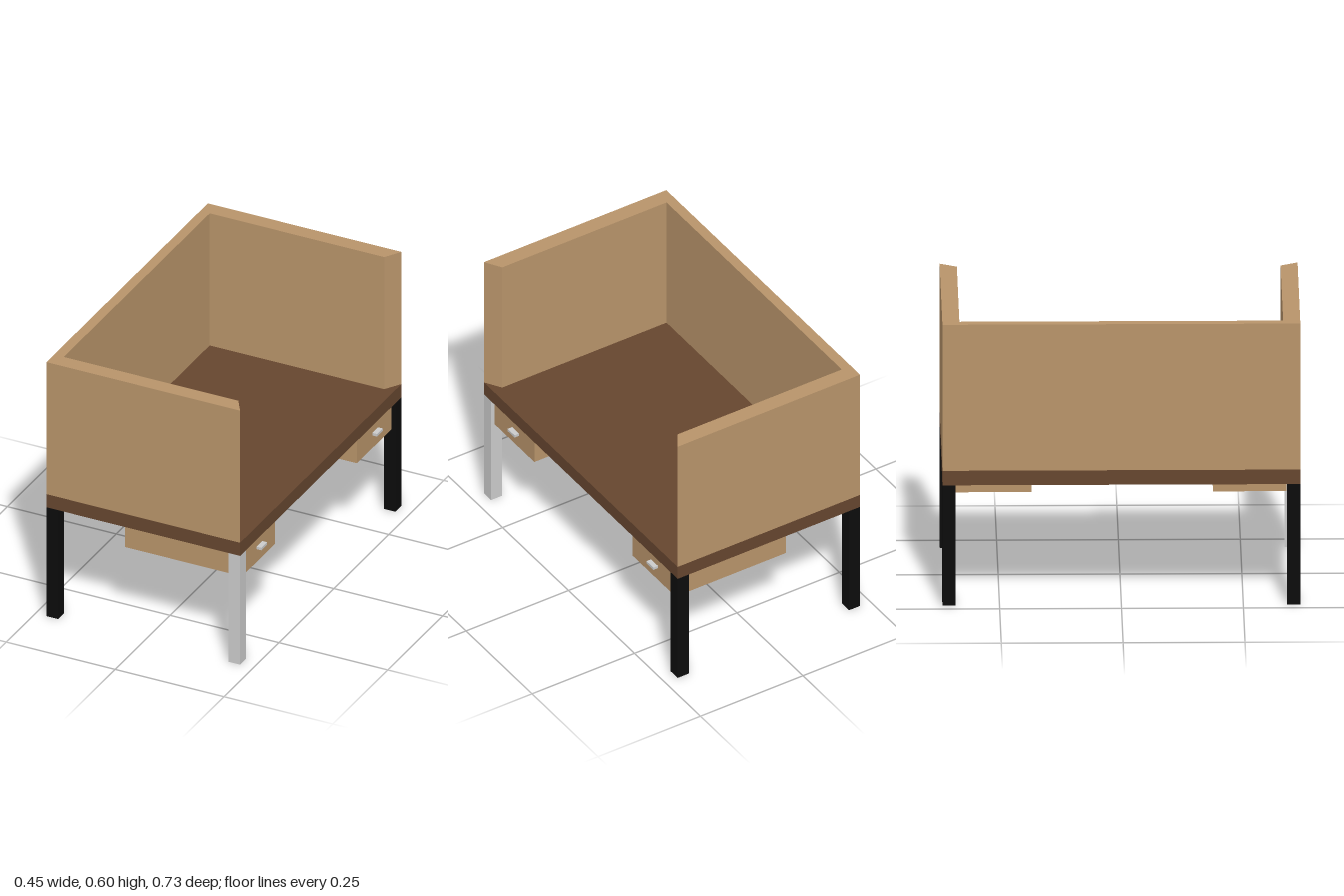
import * as THREE from 'three';

const TAN = new THREE.MeshStandardMaterial({ color: 0xb8946a });
const BROWN = new THREE.MeshStandardMaterial({ color: 0x66462f });
const BLACK = new THREE.MeshStandardMaterial({ color: 0x0c0c0c });
const GREY = new THREE.MeshStandardMaterial({ color: 0xcccccc });

// Box given by its minimum and maximum corners
function box(name, material, min, max) {
  const size = max.map((v, i) => v - min[i]);
  const mesh = new THREE.Mesh(new THREE.BoxGeometry(...size), material);
  mesh.position.set(...min.map((v, i) => v + size[i] / 2));
  mesh.name = name;
  return mesh;
}

export function createModel() {
  const group = new THREE.Group();
  group.name = 'deskBooth';

  const back = -0.225, open = 0.22, side = 0.367;
  const floorY = 1.4, deskBottom = 1.657, deskTop = 1.688, top = 2;

  // Desktop
  group.add(box('desktop', BROWN, [back, deskBottom, -side], [open, deskTop, side]));

  // U-shaped privacy screen with mitred ends, open towards +x
  const inner = 0.332;
  const outline = new THREE.Shape([
    [open, -side], [0.198, -inner], [-0.203, -inner], [-0.203, inner],
    [0.198, inner], [open, side], [back, side], [back, -side],
  ].map(([x, z]) => new THREE.Vector2(x, -z)));
  const screenGeometry = new THREE.ExtrudeGeometry(outline, { depth: top - deskTop, bevelEnabled: false });
  screenGeometry.rotateX(-Math.PI / 2);
  const screen = new THREE.Mesh(screenGeometry, TAN);
  screen.name = 'privacyScreen';
  screen.position.y = deskTop;
  group.add(screen);

  // Four square legs, one of them in bare grey
  const leg = 0.027;
  for (const x of [back, open - leg]) {
    for (const z of [-side, side - leg]) {
      const material = x > 0 && z > 0 ? GREY : BLACK;
      group.add(box('leg', material, [x, floorY, z], [x + leg, deskBottom, z + leg]));
    }
  }

  // Two drawers with small pulls, facing the open side
  for (const [z0, z1] of [[-0.345, -0.182], [0.19, 0.341]]) {
    const drawer = new THREE.Group();
    drawer.name = 'drawer';
    const mid = z0 < 0 ? -0.265 : 0.261;
    drawer.add(box('drawerBody', TAN, [-0.058, 1.593, z0], [0.211, deskBottom, z1]));
    drawer.add(box('drawerPull', GREY, [0.211, 1.623, mid - 0.013], [0.222, 1.629, mid + 0.013]));
    group.add(drawer);
  }

  return group;
}
